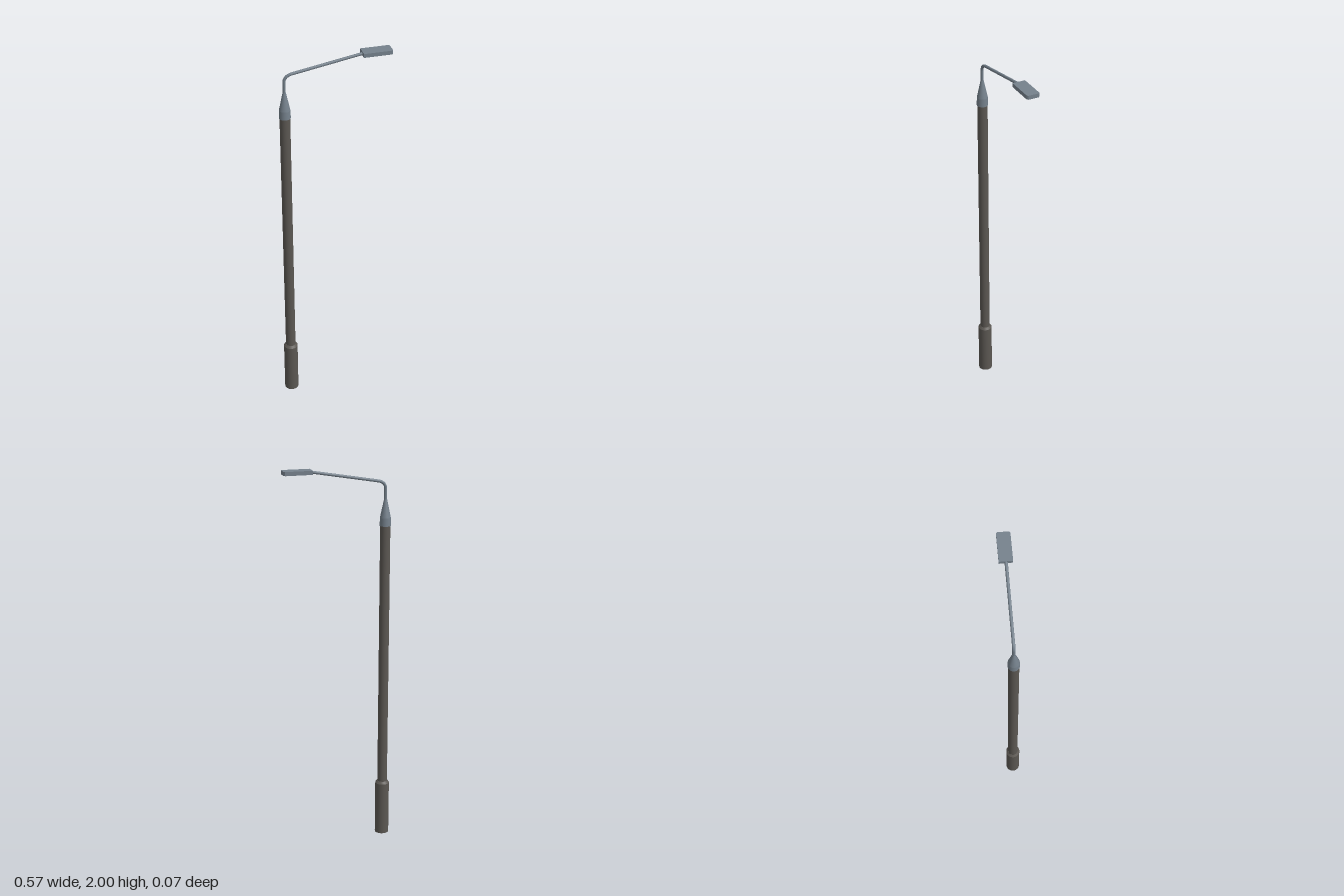
import * as THREE from 'three';

const POLE_X = -0.247;

export function createModel() {
  const model = new THREE.Group();
  const material = (name, color) => {
    const m = new THREE.MeshStandardMaterial({ color });
    m.name = name;
    return m;
  };
  const bronze = material('dark bronze', 0x5b5752);
  const steel = material('blue grey steel', 0x75818c);
  const glass = material('lamp glass', 0x9a9d9e);

  const add = (name, geometry, mat, x = 0, y = 0, z = 0) => {
    const mesh = new THREE.Mesh(geometry, mat);
    mesh.name = name;
    mesh.position.set(x, y, z);
    model.add(mesh);
    return mesh;
  };
  // Upright round section between two heights
  const section = (name, y0, y1, r0, r1, mat, open = false) =>
    add(name, new THREE.CylinderGeometry(r1, r0, y1 - y0, 32, 1, open), mat, POLE_X, (y0 + y1) / 2);

  // Pole: wide base sleeve, chamfered shoulder, long shaft
  section('baseSleeve', 0, 0.29, 0.037, 0.037, bronze);
  section('baseShoulder', 0.29, 0.302, 0.037, 0.027, bronze);
  section('shaft', 0.302, 1.705, 0.026, 0.026, bronze);

  // Collar tapering from the shaft to the arm
  section('collarRing', 1.7, 1.742, 0.029, 0.0275, steel);
  section('collarCone', 1.742, 1.835, 0.0275, 0.008, steel);

  // Bent arm: rises, curves over, then slopes gently up to the lamp
  const path = new THREE.CurvePath();
  const p = (x, y) => new THREE.Vector3(x, y, 0);
  const bendStart = p(POLE_X, 1.888);
  const bendEnd = p(-0.207, 1.929);
  path.add(new THREE.LineCurve3(p(POLE_X, 1.82), bendStart));
  path.add(new THREE.CubicBezierCurve3(bendStart, p(POLE_X, 1.91), p(-0.232, 1.925), bendEnd));
  path.add(new THREE.LineCurve3(bendEnd, p(0.146, 1.99)));
  add('arm', new THREE.TubeGeometry(path, 80, 0.0075, 16), steel);

  // Flat lamp head with clipped outer corners
  const x0 = 0.137, x1 = 0.283, w = 0.0325, c = 0.006;
  const outline = new THREE.Shape([
    [x0, -w], [x1 - c, -w], [x1, -w + c], [x1, w - c], [x1 - c, w], [x0, w],
  ].map(([x, y]) => new THREE.Vector2(x, y)));
  const head = new THREE.ExtrudeGeometry(outline, { depth: 0.02, bevelEnabled: false });
  head.rotateX(-Math.PI / 2);
  add('lampHead', head, steel, 0, 1.98, -0.001);

  // Thin glass plate under the outer half of the head
  add('lampGlass', new THREE.BoxGeometry(0.075, 0.002, 0.05), glass, 0.236, 1.9795, -0.001);

  return model;
}
